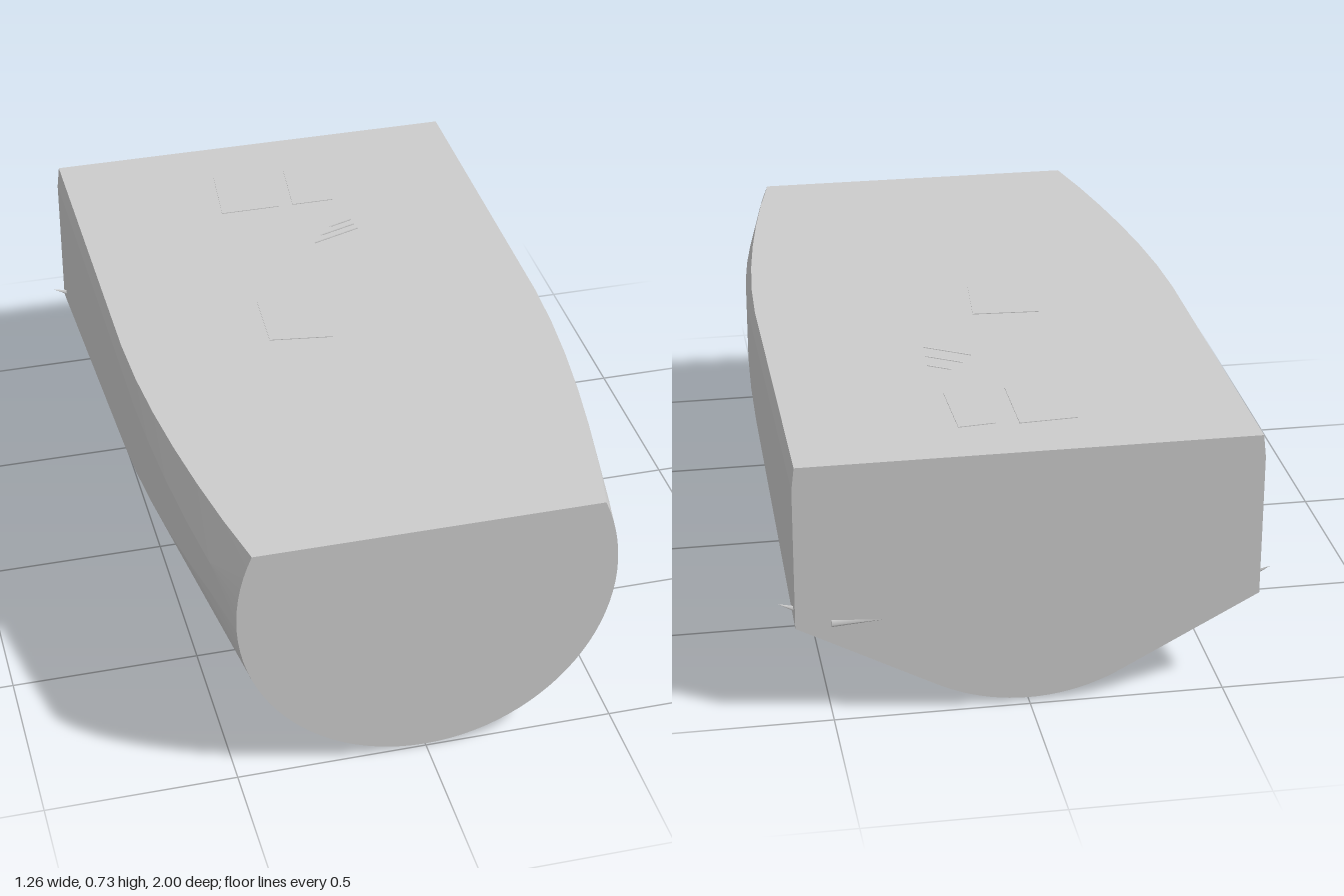
import * as THREE from 'three';
import { ConvexGeometry } from 'three/addons/geometries/ConvexGeometry.js';

const DECK = 0.7, BACK = -0.985;

// Convex hull body: round nose, bowed side walls, round keel and square stern corners
function hullGeometry() {
  const points = [];
  const add = (x, y, z) => points.push(new THREE.Vector3(x, y, z), new THREE.Vector3(-x, y, z));

  // Nose: a circle cut off by the deck
  const r = 0.494, top = Math.asin(0.2 / r);
  for (let i = 0; i <= 30; i++) {
    const a = -Math.PI / 2 + (top + Math.PI / 2) * i / 30;
    add(r * Math.cos(a), 0.5 + r * Math.sin(a), 1);
  }
  // Bowed walls, narrowing towards the nose
  for (let i = 1; i <= 12; i++) {
    const z = 1 + (BACK - 1) * i / 12;
    const k = Math.max(0, z);
    const wide = 0.59 - 0.096 * k * k;
    const low = 0.26 + 0.24 * (z - BACK) / (1 - BACK);
    const high = 0.64 - 0.08 * k;
    add(wide, low, z);
    add(wide, high, z);
    add(0.583 - 0.13 * Math.pow(k, 1.7), DECK, z);
  }
  // Keel arc at the stern, with a small bevel behind it
  for (let i = 0; i <= 10; i++) {
    const a = 0.518 * i / 10;
    const x = 0.5 * Math.sin(a), y = 0.5 - 0.5 * Math.cos(a);
    add(x, y, -0.965);
    add(x, y + 0.01, BACK);
  }
  return new ConvexGeometry(points);
}

// Thin four-sided plate lying on the deck; corners are [x, z]
function plateGeometry(corners) {
  const shape = new THREE.Shape(corners.map(([x, z]) => new THREE.Vector2(x, -z)));
  const g = new THREE.ExtrudeGeometry(shape, { depth: 0.004, bevelEnabled: false });
  g.rotateX(-Math.PI / 2);
  g.translate(0, DECK - 0.002, 0);
  return g;
}

export function createModel() {
  const model = new THREE.Group();
  const grey = new THREE.MeshStandardMaterial({ color: 0xcccccc });
  grey.name = 'light grey';

  const put = (name, geometry) => {
    const mesh = new THREE.Mesh(geometry, grey);
    mesh.name = name;
    model.add(mesh);
    return mesh;
  };

  put('hull', hullGeometry());

  // Deck plates
  [
    [[-0.15, -0.81], [0, -0.82], [0, -0.605], [-0.17, -0.605]],
    [[0.06, -0.81], [0.155, -0.82], [0.16, -0.605], [0.04, -0.605]],
    [[-0.18, -0.115], [0, -0.105], [-0.02, 0.105], [-0.19, 0.08]],
  ].forEach((corners) => put('deckPlate', plateGeometry(corners)));

  // Fine slanted slivers on the deck
  for (let i = 0; i < 3; i++) {
    const length = 0.13 - i * 0.025;
    const sliver = put('deckSliver', new THREE.BoxGeometry(length, 0.002, 0.004));
    sliver.position.set(0.178 - length / 2, 0.717 - i * 0.006, -0.38 - i * 0.04);
    sliver.rotation.z = 0.24;
  }

  // Small spikes by the stern corners
  for (const side of [-1, 1]) {
    const spike = put('cornerSpike', new THREE.ConeGeometry(0.008, 0.05, 4));
    spike.position.set(side * 0.605, 0.3, -0.94);
    spike.rotation.z = -side * 1.2;
  }

  // Chip on the stern face
  const chip = put('sternChip', new THREE.ConeGeometry(0.01, 0.13, 4));
  chip.position.set(0.435, 0.27, -0.99);
  chip.rotation.z = Math.PI / 2;

  return model;
}
